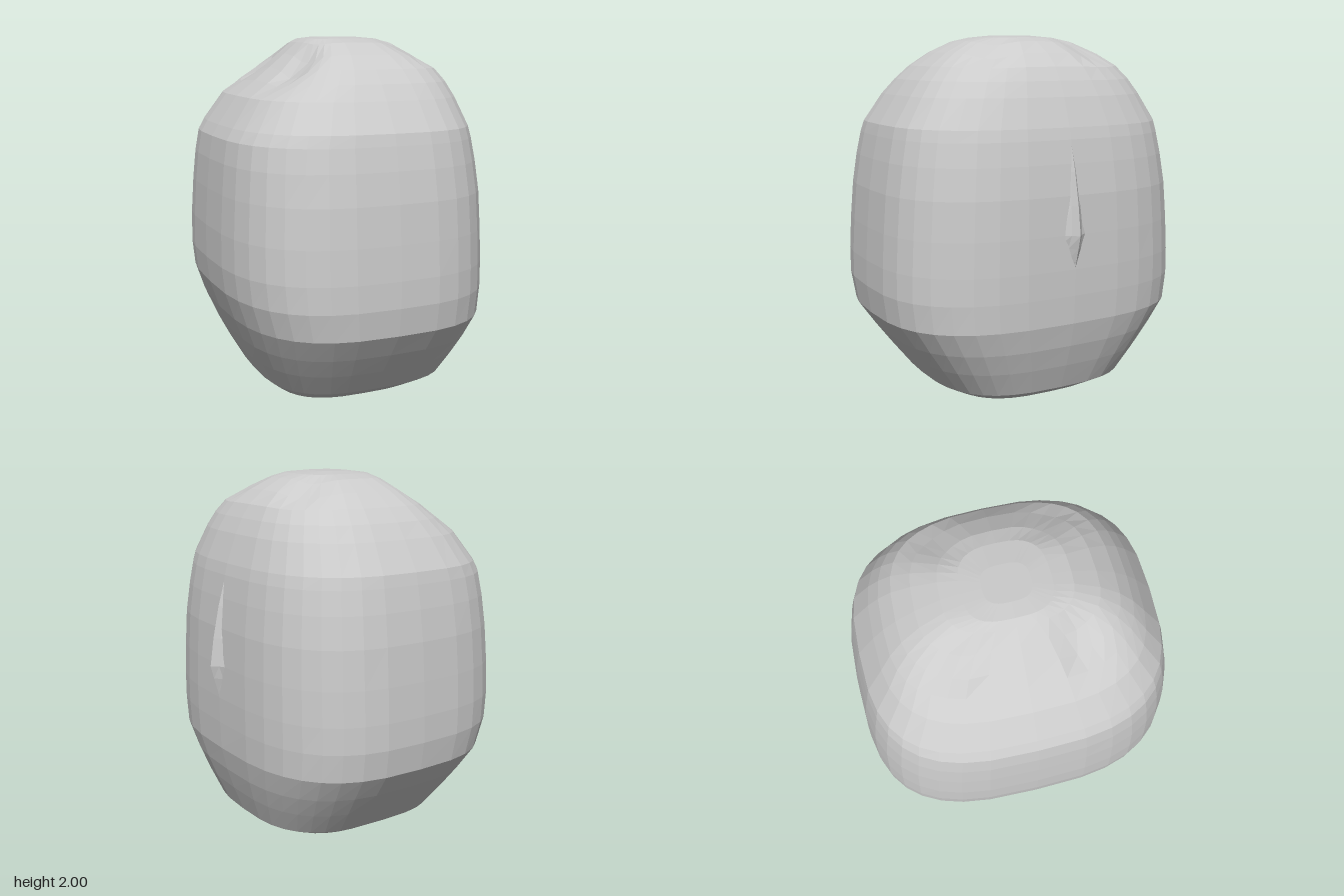
import * as THREE from 'three';

const material = new THREE.MeshStandardMaterial({ color: 0xcccccc, flatShading: true, side: THREE.DoubleSide });

// Skin a stack of closed rings (bottom to top, equal point counts) with faceted quads.
function loft(rings, name) {
  const n = rings[0].length;
  const index = [];
  for (let r = 0; r < rings.length - 1; r++) {
    for (let i = 0; i < n; i++) {
      const a = r * n + i, b = r * n + (i + 1) % n;
      index.push(a, a + n, b, b, a + n, b + n);
    }
  }
  let geometry = new THREE.BufferGeometry();
  geometry.setAttribute('position', new THREE.Float32BufferAttribute(rings.flat(2), 3));
  geometry.setIndex(index);
  geometry = geometry.toNonIndexed();
  geometry.computeVertexNormals();
  const mesh = new THREE.Mesh(geometry, material);
  mesh.name = name;
  return mesh;
}

// Rounded-box cross-section with different reach on its two x sides.
function headRing([y, right, left, depth]) {
  const ring = [], segments = 36, power = 2 / 3;
  const bend = v => Math.sign(v) * Math.abs(v) ** power;
  for (let i = 0; i < segments; i++) {
    const t = (i / segments) * Math.PI * 2;
    const c = bend(Math.cos(t)), s = bend(Math.sin(t));
    const x = c * (c < 0 ? right : left), z = s * depth;
    // Shallow hollows at the four corners of the crown
    const d = (Math.abs(x) - 0.32) ** 2 + (Math.abs(z) - 0.28) ** 2;
    const dent = y > 1.6 ? (x < 0 ? 0.06 : 0.04) * Math.exp(-d / 0.012) : 0;
    ring.push([x, y - dent, z]);
  }
  return ring;
}

export function createModel() {
  const model = new THREE.Group();
  model.name = 'head';

  // Skull levels: height, reach to -x, reach to +x, half depth in z
  const levels = [
    [0, 0, 0, 0],
    [0.005, 0.2, 0.2, 0.2],
    [0.025, 0.3, 0.3, 0.32],
    [0.07, 0.41, 0.45, 0.44],
    [0.14, 0.49, 0.575, 0.56],
    [0.28, 0.57, 0.63, 0.67],
    [0.4, 0.63, 0.67, 0.76],
    [0.53, 0.685, 0.7, 0.85],
    [0.68, 0.735, 0.705, 0.87],
    [0.82, 0.75, 0.705, 0.868],
    [1.0, 0.748, 0.7, 0.857],
    [1.2, 0.735, 0.69, 0.84],
    [1.36, 0.72, 0.67, 0.815],
    [1.48, 0.7, 0.65, 0.79],
    [1.54, 0.665, 0.635, 0.775],
    [1.69, 0.56, 0.58, 0.68],
    [1.77, 0.455, 0.54, 0.62],
    [1.84, 0.37, 0.495, 0.55],
    [1.91, 0.285, 0.41, 0.45],
    [1.97, 0.215, 0.3, 0.32],
    [1.99, 0.18, 0.22, 0.22],
    [2.0, 0.1, 0.1, 0.12],
    [2.0, 0, 0, 0],
  ];
  model.add(loft(levels.map(headRing), 'skull'));

  // Narrow nose ridge: height, ridge x, half width where it meets the face
  const nose = [
    [0.8, 0.698, 0.06],
    [0.86, 0.713, 0.11],
    [0.93, 0.732, 0.1],
    [1.0, 0.75, 0.075],
    [1.15, 0.728, 0.06],
    [1.32, 0.692, 0.035],
    [1.45, 0.655, 0.005],
  ].map(([y, x, w]) => [
    [x, y, 0],
    [x - 0.035 * Math.min(1, w / 0.075), y, w * 0.4],
    [x - 0.06, y, w],
    [0.6, y, w],
    [0.6, y, -w],
    [x - 0.06, y, -w],
    [x - 0.035 * Math.min(1, w / 0.075), y, -w * 0.4],
  ]);
  model.add(loft(nose, 'nose'));

  return model;
}
